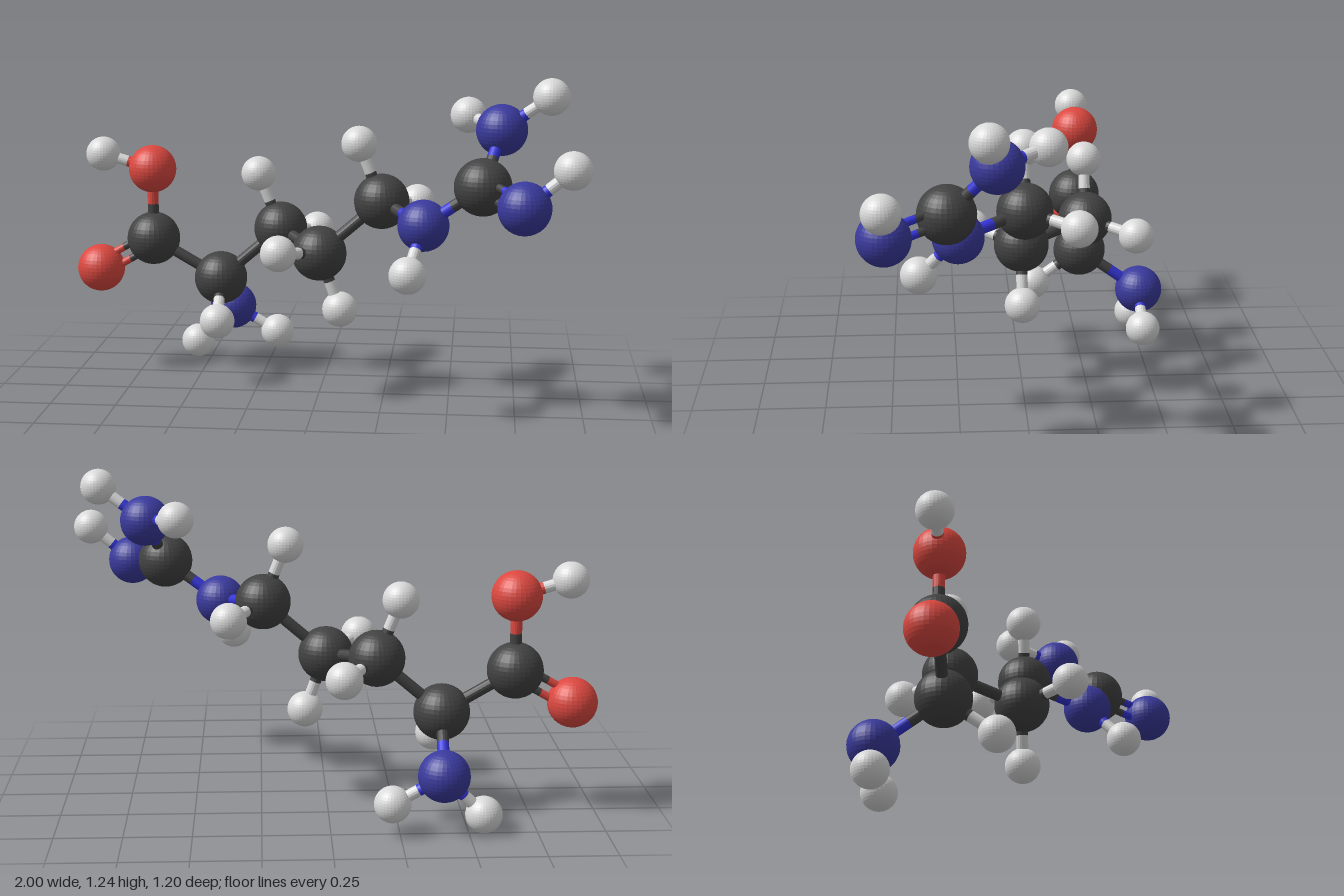
import * as THREE from 'three';

const mat = (name, color, flat = true) => {
  const m = new THREE.MeshStandardMaterial({ color });
  m.name = name;
  m.flatShading = flat;
  return m;
};

export function createModel() {
  const model = new THREE.Group();
  model.name = 'moleculeModel';

  // Each element: ball radius, ball material, rod material
  const carbon = mat('carbonGrey', 0x424242);
  const nitrogen = mat('nitrogenBlue', 0x3a3a9e);
  const oxygen = mat('oxygenRed', 0xdc4840);
  const hydrogen = mat('hydrogenWhite', 0xdadada);
  const blueRod = mat('rodBlue', 0x3434d8, false);
  const elements = {
    C: { name: 'carbon', r: 0.105, ball: carbon, rod: carbon },
    N: { name: 'nitrogen', r: 0.095, ball: nitrogen, rod: blueRod },
    O: { name: 'oxygen', r: 0.094, ball: oxygen, rod: oxygen },
    H: { name: 'hydrogen', r: 0.068, ball: hydrogen, rod: hydrogen },
  };

  // Atoms: element, x, y, z
  const atoms = {
    acidC: ['C', -0.69, 0.55, -0.26],
    acidO: ['O', -0.906, 0.425, -0.26],
    hydroxylO: ['O', -0.69, 0.83, -0.26],
    hydroxylH: ['H', -0.887, 0.888, -0.26],
    alphaC: ['C', -0.42, 0.394, -0.26],
    alphaH: ['H', -0.408, 0.26, -0.07],
    amineN: ['N', -0.407, 0.222, -0.505],
    amineH1: ['H', -0.554, 0.072, -0.493],
    amineH2: ['H', -0.222, 0.118, -0.503],
    betaC: ['C', -0.178, 0.6, -0.26],
    betaH1: ['H', -0.265, 0.818, -0.26],
    betaH2: ['H', -0.05, 0.565, -0.448],
    gammaC: ['C', 0, 0.555, 0],
    gammaH1: ['H', 0.08, 0.337, 0],
    gammaH2: ['H', -0.135, 0.588, 0.187],
    deltaC: ['C', 0.238, 0.76, 0],
    deltaH1: ['H', 0.152, 0.978, 0],
    deltaH2: ['H', 0.366, 0.728, -0.19],
    linkN: ['N', 0.405, 0.716, 0.248],
    linkH: ['H', 0.355, 0.56, 0.391],
    endC: ['C', 0.619, 0.868, 0.29],
    upperN: ['N', 0.684, 1.053, 0.118],
    upperH1: ['H', 0.861, 1.18, 0.151],
    upperH2: ['H', 0.56, 1.085, -0.063],
    outerN: ['N', 0.764, 0.83, 0.503],
    outerH: ['H', 0.928, 0.966, 0.505],
  };

  // Balls
  const balls = {};
  for (const key in elements) balls[key] = new THREE.SphereGeometry(elements[key].r, 32, 20);
  const points = {};
  for (const [name, [el, x, y, z]] of Object.entries(atoms)) {
    points[name] = new THREE.Vector3(x, y, z);
    const ball = new THREE.Mesh(balls[el], elements[el].ball);
    ball.name = name + 'Ball';
    ball.position.copy(points[name]);
    model.add(ball);
  }

  // Rod from a to b, split at the middle between the two elements' colours
  const up = new THREE.Vector3(0, 1, 0);
  const addRod = (from, to, radius, shift) => {
    const a = points[from].clone().add(shift);
    const b = points[to].clone().add(shift);
    const mid = a.clone().lerp(b, 0.5);
    const dir = b.clone().sub(a).normalize();
    for (const [end, atom] of [[a, from], [b, to]]) {
      const geo = new THREE.CylinderGeometry(radius, radius, end.distanceTo(mid), 16);
      const rod = new THREE.Mesh(geo, elements[atoms[atom][0]].rod);
      rod.name = `${from}To${to}Rod`;
      rod.position.copy(end).lerp(mid, 0.5);
      rod.quaternion.setFromUnitVectors(up, dir);
      model.add(rod);
    }
  };

  // Single bonds
  const singles = [
    ['acidC', 'hydroxylO'], ['hydroxylO', 'hydroxylH'], ['acidC', 'alphaC'],
    ['alphaC', 'alphaH'], ['alphaC', 'amineN'], ['amineN', 'amineH1'], ['amineN', 'amineH2'],
    ['alphaC', 'betaC'], ['betaC', 'betaH1'], ['betaC', 'betaH2'],
    ['betaC', 'gammaC'], ['gammaC', 'gammaH1'], ['gammaC', 'gammaH2'],
    ['gammaC', 'deltaC'], ['deltaC', 'deltaH1'], ['deltaC', 'deltaH2'],
    ['deltaC', 'linkN'], ['linkN', 'linkH'], ['linkN', 'endC'],
    ['endC', 'upperN'], ['upperN', 'upperH1'], ['upperN', 'upperH2'], ['outerN', 'outerH'],
  ];
  for (const [a, b] of singles) addRod(a, b, 0.022, new THREE.Vector3());

  // Double bonds: two thinner rods, one above the other
  for (const [a, b] of [['acidC', 'acidO'], ['endC', 'outerN']]) {
    const dir = points[b].clone().sub(points[a]).normalize();
    const side = up.clone().addScaledVector(dir, -up.dot(dir)).normalize();
    for (const s of [-1, 1]) addRod(a, b, 0.015, side.clone().multiplyScalar(s * 0.027));
  }

  return model;
}
